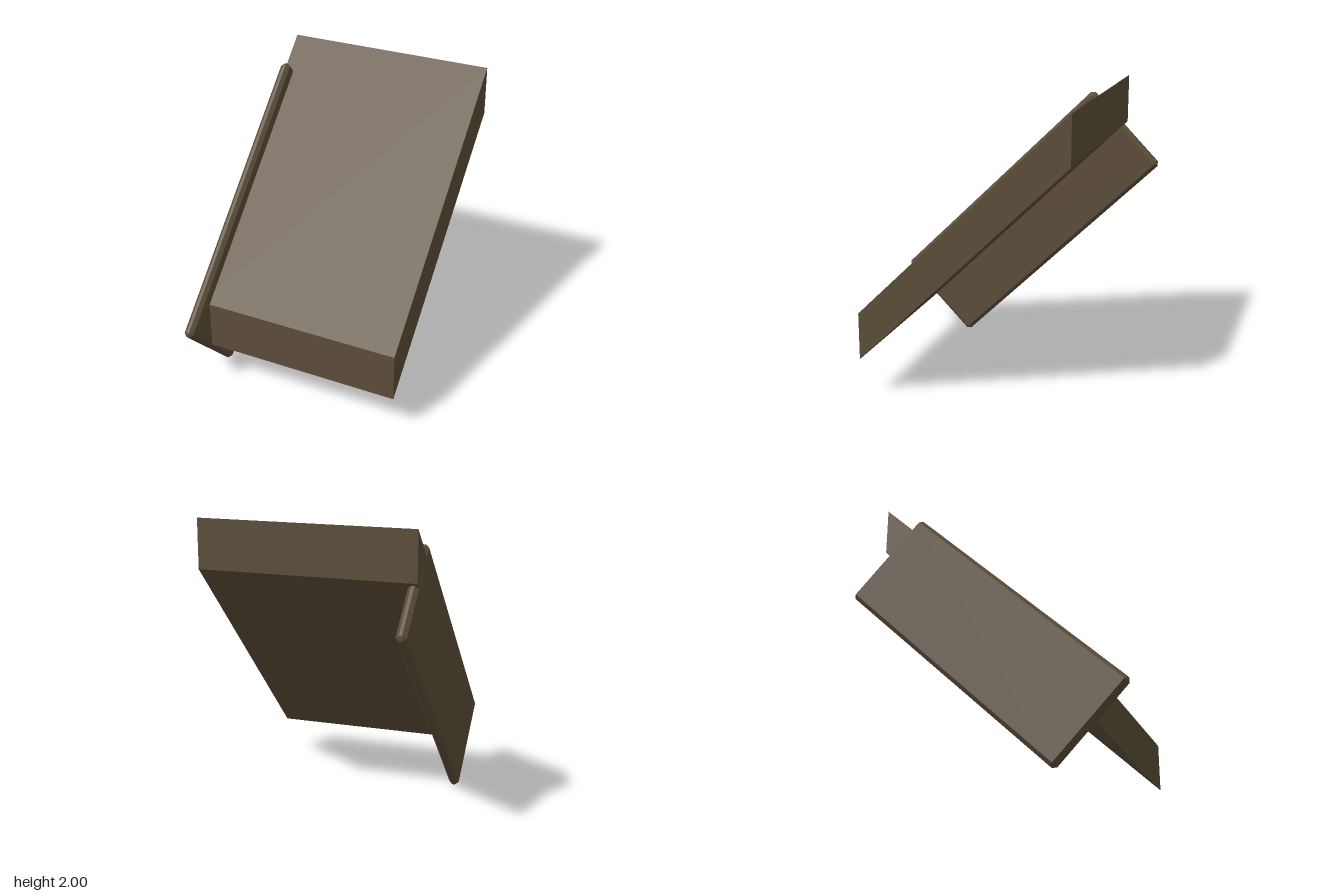
import * as THREE from 'three';
import { ConvexGeometry } from 'three/addons/geometries/ConvexGeometry.js';

// Box with every edge and corner cut by a flat chamfer c
function chamferedBox(hx, hy, hz, c) {
  const points = [];
  for (const sx of [-1, 1]) for (const sy of [-1, 1]) for (const sz of [-1, 1]) {
    points.push(
      new THREE.Vector3(sx * hx, sy * (hy - c), sz * (hz - c)),
      new THREE.Vector3(sx * (hx - c), sy * hy, sz * (hz - c)),
      new THREE.Vector3(sx * (hx - c), sy * (hy - c), sz * hz),
    );
  }
  return new ConvexGeometry(points);
}

export function createModel() {
  const group = new THREE.Group();
  group.name = 'slopedRamp';
  const wood = new THREE.MeshStandardMaterial({ color: 0x5c4d39, flatShading: true });
  wood.name = 'dark brown wood';

  // Sloped slab: a box sheared so that its front and back stay upright
  const slabGeometry = new THREE.BoxGeometry(1.414, 0.322, 1.414);
  const pos = slabGeometry.attributes.position;
  for (let i = 0; i < pos.count; i++) pos.setY(i, pos.getY(i) - pos.getZ(i));
  slabGeometry.computeVertexNormals();
  const slab = new THREE.Mesh(slabGeometry, wood);
  slab.name = 'slopedSlab';
  slab.position.y = 1.132;
  group.add(slab);

  // Side board with chamfered edges, tilted along the slope
  const board = new THREE.Mesh(chamferedBox(0.034, 0.344, 1.002, 0.024), wood);
  board.name = 'sideBoard';
  board.position.set(-0.674, 0.935, 0);
  board.rotation.x = Math.PI / 4;
  group.add(board);

  return group;
}
